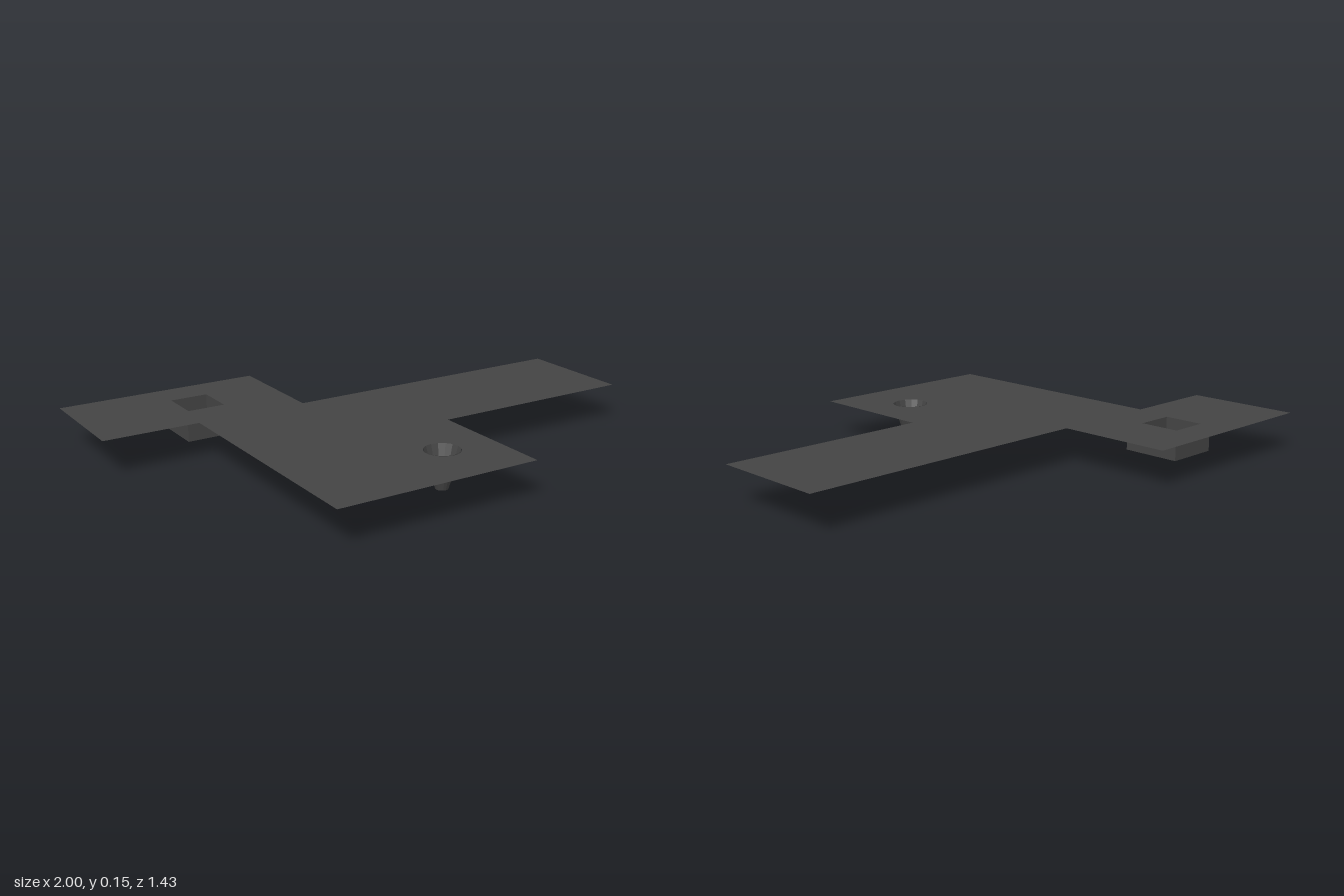
import * as THREE from 'three';

const TOP = 0.145;

const material = new THREE.MeshStandardMaterial({
  color: 0x444444,
  flatShading: true,
  side: THREE.DoubleSide,
});

function addPart(group, name, geometry, x = 0, y = 0, z = 0) {
  const mesh = new THREE.Mesh(geometry, material);
  mesh.name = name;
  mesh.position.set(x, y, z);
  group.add(mesh);
}

// Box without its top face, hanging down from y = 0
function openBox(width, height, depth) {
  const geometry = new THREE.BoxGeometry(width, height, depth);
  const index = Array.from(geometry.index.array);
  index.splice(12, 6);
  geometry.setIndex(index);
  geometry.clearGroups();
  return geometry.translate(0, -height / 2, 0);
}

export function createModel() {
  const group = new THREE.Group();
  group.name = 'floorPlan';

  // Thin floor sheet: outline as x, z corners, with a square and a round opening
  const outline = [
    [-1, -0.72], [-0.185, -0.72], [-0.185, -0.27], [1, -0.27], [1, 0.2],
    [0.17, 0.2], [0.17, 0.715], [-0.625, 0.715], [-0.625, -0.27], [-1, -0.27],
  ];
  const toPoints = (list) => list.map(([x, z]) => new THREE.Vector2(x, -z));
  const floor = new THREE.Shape(toPoints(outline));
  floor.holes.push(new THREE.Path(toPoints([
    [-0.6, -0.58], [-0.6, -0.42], [-0.45, -0.42], [-0.45, -0.58],
  ])));
  floor.holes.push(new THREE.Path().absarc(-0.04, -0.455, 0.068, 0, Math.PI * 2, true));
  const floorGeometry = new THREE.ShapeGeometry(floor, 16).rotateX(-Math.PI / 2);
  // The sheet drops very slightly towards the front
  const position = floorGeometry.attributes.position;
  for (let i = 0; i < position.count; i++) {
    position.setY(i, -0.002 * position.getZ(i));
  }
  floorGeometry.computeVertexNormals();
  addPart(group, 'floor', floorGeometry, 0, TOP, 0);

  // Square basin: outer casing below the floor and the shallower pocket inside it
  addPart(group, 'basinCasing', openBox(0.21, 0.105, 0.23), -0.52, TOP, -0.49);
  addPart(group, 'basinPocket', openBox(0.15, 0.06, 0.16), -0.525, TOP, -0.5);

  // Tapered round pit with a small flat bottom
  const pitProfile = [
    new THREE.Vector2(0, 0), new THREE.Vector2(0.024, 0), new THREE.Vector2(0.068, TOP),
  ];
  addPart(group, 'pit', new THREE.LatheGeometry(pitProfile, 16), -0.04, 0, 0.455);

  return group;
}
